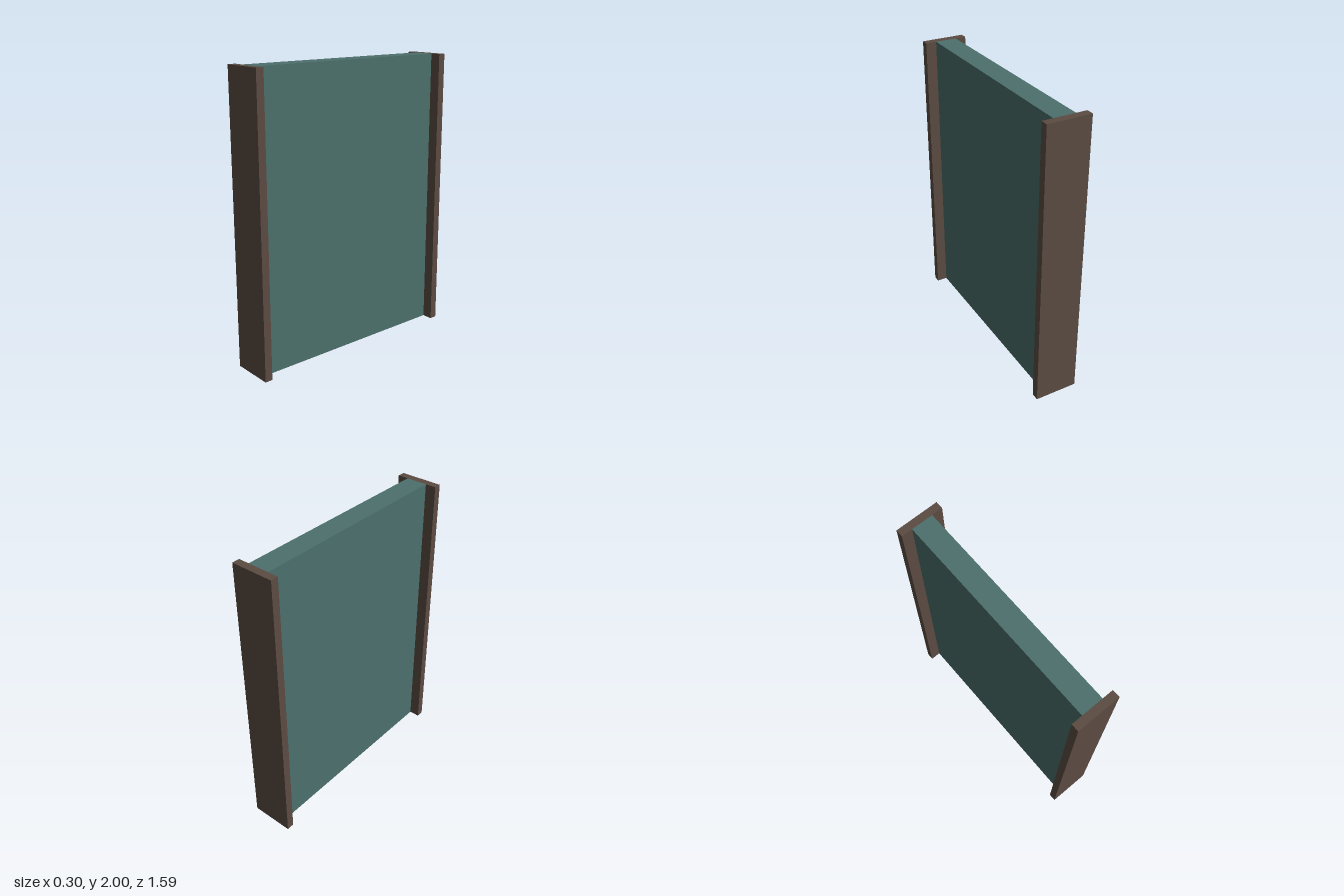
import * as THREE from 'three';

export function createModel() {
  const group = new THREE.Group();
  const brown = new THREE.MeshStandardMaterial({ name: 'brown frame', color: 0x5c4c42 });
  const teal = new THREE.MeshStandardMaterial({ name: 'teal panel', color: 0x4c706c });

  const height = 2, halfDepth = 0.797, postDepth = 0.053;

  const addBox = (name, width, depth, z, material) => {
    const mesh = new THREE.Mesh(new THREE.BoxGeometry(width, height, depth), material);
    mesh.name = name;
    mesh.position.set(0, height / 2, z);
    group.add(mesh);
  };

  // Wall panel between the two end posts
  addBox('wallPanel', 0.15, 2 * (halfDepth - postDepth), 0, teal);

  // Wider end posts capping the panel
  const postZ = halfDepth - postDepth / 2;
  addBox('frontPost', 0.3, postDepth, postZ, brown);
  addBox('backPost', 0.3, postDepth, -postZ, brown);

  return group;
}
